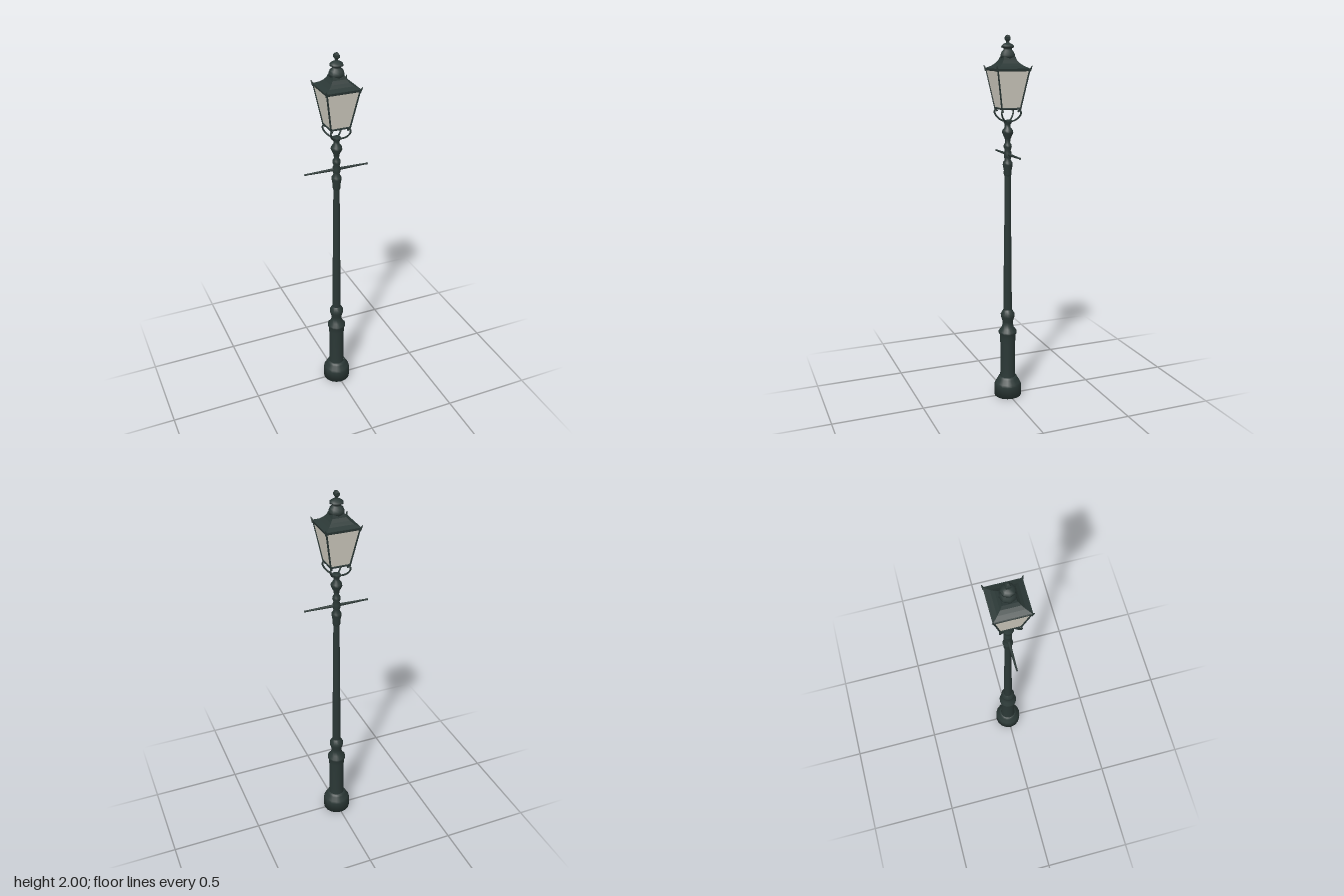
import * as THREE from 'three';

const iron = new THREE.MeshStandardMaterial({ color: 0x2b3836 });
iron.name = 'dark green iron';
const glass = new THREE.MeshStandardMaterial({ color: 0xd6d2c6, side: THREE.DoubleSide });
glass.name = 'frosted glass';

const vec = (x, y, z) => new THREE.Vector3(x, y, z);

function add(parent, name, geometry, material = iron) {
  const mesh = new THREE.Mesh(geometry, material);
  mesh.name = name;
  parent.add(mesh);
  return mesh;
}

// Round turned part from [radius, height] pairs, bottom to top
function turned(profile, sides) {
  return new THREE.LatheGeometry(profile.map(([r, y]) => new THREE.Vector2(r, y)), sides);
}

// Square part from [half width, height] pairs, with flat faces
function squareLoft(profile) {
  const points = profile.map(([h, y]) => new THREE.Vector2(h * Math.SQRT2, y));
  const geometry = new THREE.LatheGeometry(points, 4, Math.PI / 4).toNonIndexed();
  geometry.computeVertexNormals();
  return geometry;
}

// Straight bar between two points
function bar(parent, name, a, b, r0, r1 = r0, sides = 6) {
  const dir = b.clone().sub(a);
  const mesh = add(parent, name, new THREE.CylinderGeometry(r1, r0, dir.length(), sides));
  mesh.position.copy(a).add(b).multiplyScalar(0.5);
  mesh.quaternion.setFromUnitVectors(vec(0, 1, 0), dir.normalize());
  return mesh;
}

export function createModel() {
  const lamp = new THREE.Group();
  lamp.name = 'streetLamp';

  // Heavy base and pedestal
  add(lamp, 'base', turned([
    [0, 0], [0.076, 0], [0.076, 0.065], [0.07, 0.078], [0.056, 0.1], [0.052, 0.11], [0.044, 0.114],
  ], 16));
  add(lamp, 'pedestal', turned([
    [0.044, 0.11], [0.041, 0.15], [0.041, 0.3], [0.044, 0.34], [0.044, 0.365],
    [0.051, 0.372], [0.051, 0.384], [0.036, 0.402], [0.029, 0.425], [0.029, 0.44],
    [0.038, 0.468], [0.039, 0.485], [0.029, 0.503], [0.024, 0.51],
  ], 16));

  // Slim tapering shaft
  add(lamp, 'shaft', turned([[0.025, 0.505], [0.0235, 0.75], [0.02, 1.0], [0.018, 1.27]], 8));

  // Turned collars around and above the ladder bar
  add(lamp, 'collars', turned([
    [0.018, 1.265], [0.022, 1.275], [0.021, 1.295], [0.027, 1.325], [0.026, 1.337],
    [0.016, 1.352], [0.02, 1.366], [0.021, 1.39], [0.016, 1.403], [0.022, 1.42],
    [0.021, 1.432], [0.013, 1.445], [0.016, 1.465], [0.03, 1.495], [0.029, 1.508],
    [0.016, 1.525], [0.016, 1.54], [0.023, 1.552], [0.022, 1.562], [0, 1.563],
  ], 12));

  // Ladder bar with knobbed ends
  const ladderBar = new THREE.Group();
  ladderBar.name = 'ladderBar';
  lamp.add(ladderBar);
  for (const s of [-1, 1]) {
    bar(ladderBar, 'ladderArm', vec(0, 1.381, 0), vec(s * 0.17, 1.381, 0), 0.0085, 0.0045, 8);
    const knob = add(ladderBar, 'ladderKnob', new THREE.SphereGeometry(0.006, 8, 6));
    knob.position.set(s * 0.173, 1.381, 0);
    knob.scale.set(1.25, 1, 0.85);
  }

  // Curved brackets, one under each lantern corner
  const bracketCurve = new THREE.CatmullRomCurve3([
    vec(0.016, 1.555, 0), vec(0.038, 1.562, 0), vec(0.062, 1.578, 0), vec(0.076, 1.6, 0),
    vec(0.073, 1.614, 0), vec(0.064, 1.616, 0), vec(0.061, 1.607, 0),
  ]);
  const footGeometry = new THREE.TubeGeometry(bracketCurve, 20, 0.0048, 6);
  for (let i = 0; i < 4; i++) {
    const bracket = add(lamp, 'lanternBracket', footGeometry);
    bracket.rotation.y = Math.PI / 4 + i * Math.PI / 2;
  }

  // Lantern: four tapering panes in an iron frame
  const lantern = new THREE.Group();
  lantern.name = 'lantern';
  lamp.add(lantern);
  const low = 0.051, high = 0.087, yLow = 1.625, yHigh = 1.822;
  add(lantern, 'glassPanes', squareLoft([[low, yLow], [high, yHigh]]), glass);
  const corners = [[1, 1], [1, -1], [-1, -1], [-1, 1]];
  corners.forEach(([x, z], i) => {
    const [nx, nz] = corners[(i + 1) % 4];
    bar(lantern, 'cornerBar', vec(x * low, yLow - 0.006, z * low), vec(x * high, yHigh, z * high), 0.0045);
    bar(lantern, 'bottomRail', vec(x * low, yLow, z * low), vec(nx * low, yLow, nz * low), 0.0055);
    bar(lantern, 'topRail', vec(x * high, yHigh, z * high), vec(nx * high, yHigh, nz * high), 0.0045);
    // Pointed horn on each roof corner
    bar(lantern, 'roofHorn', vec(x * 0.087, 1.818, z * 0.087), vec(x * 0.097, 1.845, z * 0.097), 0.008, 0.002, 4);
  });

  // Swept square roof
  add(lantern, 'roof', squareLoft([
    [0, 1.82], [0.091, 1.82], [0.093, 1.831], [0.088, 1.832],
    [0.066, 1.843], [0.049, 1.857], [0.037, 1.873], [0.031, 1.89], [0, 1.891],
  ]));

  // Vented cap and finial
  add(lantern, 'ventCap', turned([
    [0.03, 1.876], [0.041, 1.888], [0.041, 1.898], [0.035, 1.913], [0.024, 1.924],
    [0.023, 1.932], [0.036, 1.937], [0.035, 1.945], [0.024, 1.954], [0.01, 1.96], [0, 1.961],
  ], 8));
  add(lantern, 'finial', squareLoft([
    [0.008, 1.955], [0.006, 1.967], [0.012, 1.976], [0.012, 1.989], [0.006, 1.999], [0, 2],
  ]));

  return lamp;
}
